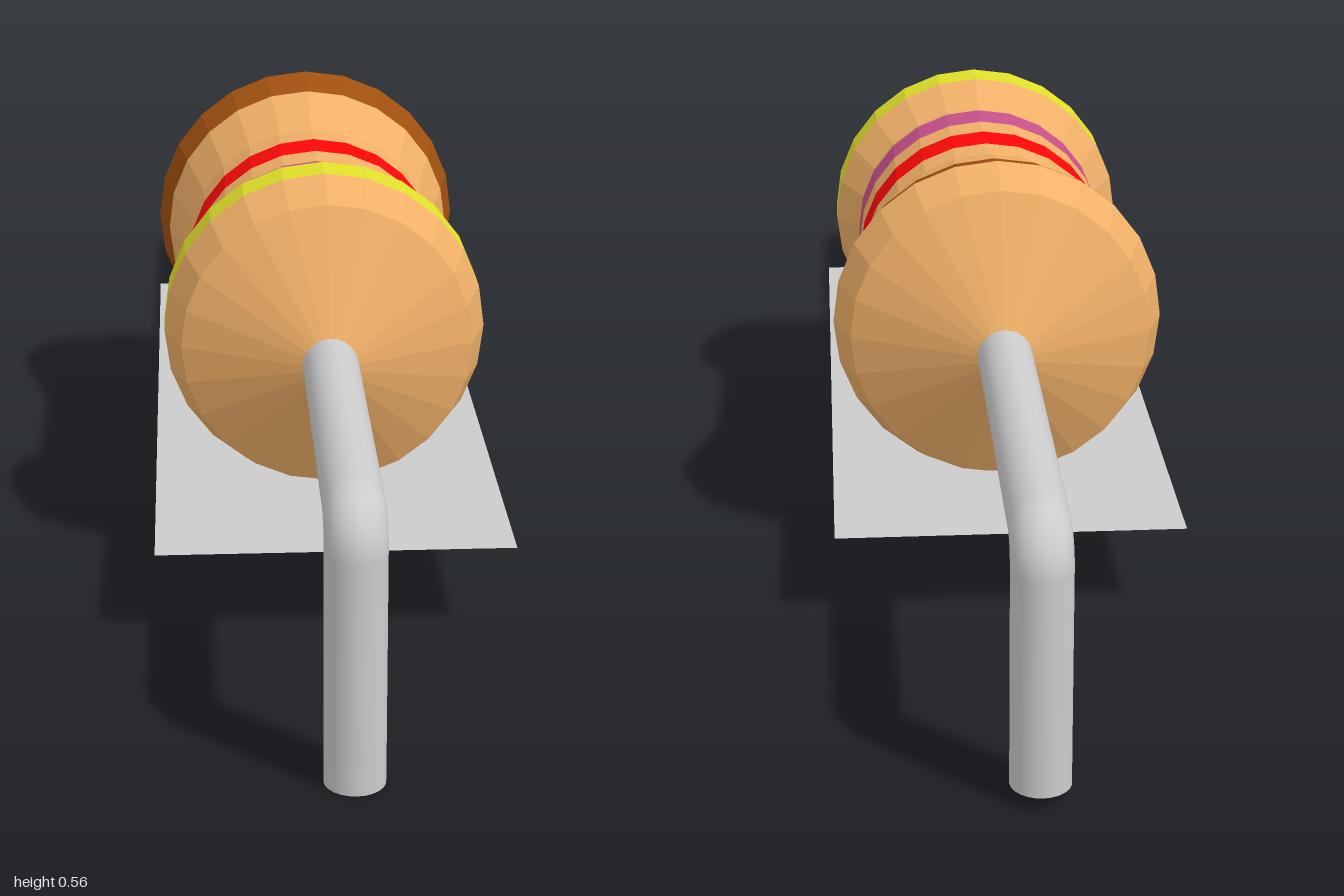
import * as THREE from 'three';

const AXIS_Y = 0.332, WIRE_R = 0.037;

// body outline as [z, radius], back to front
const PROFILE = [
  [-0.385, 0.037], [-0.3, 0.207], [-0.235, 0.23], [-0.05, 0.186], [0.2, 0.186],
  [0.25, 0.22], [0.31, 0.22], [0.38, 0.197], [0.46, 0.037],
];

// colour bands: name, back z, front z, colour
const BANDS = [
  ['brownBand', -0.235, -0.17, 0xa0500f],
  ['redBand', 0.005, 0.07, 0xff0808],
  ['purpleBand', 0.125, 0.19, 0xc8508a],
  ['yellowBand', 0.25, 0.31, 0xe0e02a],
];
const TAN = 0xf0b068;

function radiusAt(z) {
  for (let i = 1; i < PROFILE.length; i++) {
    const [z0, r0] = PROFILE[i - 1], [z1, r1] = PROFILE[i];
    if (z <= z1) return r0 + (r1 - r0) * (z - z0) / (z1 - z0);
  }
  return PROFILE[PROFILE.length - 1][1];
}

// faceted slice of the body between two z positions
function bodySlice(name, z0, z1, color) {
  const inner = PROFILE.map(p => p[0]).filter(z => z > z0 + 1e-4 && z < z1 - 1e-4);
  const points = [z0, ...inner, z1].map(z => new THREE.Vector2(radiusAt(z), z));
  const geometry = new THREE.LatheGeometry(points, 24).rotateX(Math.PI / 2);
  const mesh = new THREE.Mesh(geometry, new THREE.MeshStandardMaterial({ color, flatShading: true }));
  mesh.name = name;
  return mesh;
}

// bent wire from the body out to z = side, then down to footY
function lead(name, side, startZ, footY) {
  const group = new THREE.Group();
  group.name = name;
  const material = new THREE.MeshStandardMaterial({ color: 0xcccccc });
  const bend = WIRE_R + 0.002, legZ = side * (1 - WIRE_R);
  const add = (geometry, part) => {
    const mesh = new THREE.Mesh(geometry, material);
    mesh.name = part;
    group.add(mesh);
    return mesh;
  };

  const elbowZ = legZ - side * bend, length = Math.abs(elbowZ - startZ);
  add(new THREE.CylinderGeometry(WIRE_R, WIRE_R, length, 24, 1, true).rotateX(Math.PI / 2), 'wire')
    .position.set(0, AXIS_Y, (elbowZ + startZ) / 2);

  // quarter torus joining wire and leg
  const elbow = new THREE.TorusGeometry(bend, WIRE_R, 24, 10, Math.PI / 2).rotateY(-side * Math.PI / 2);
  add(elbow, 'elbow').position.set(0, AXIS_Y - bend, elbowZ);

  const top = AXIS_Y - bend;
  add(new THREE.CylinderGeometry(WIRE_R, WIRE_R, top - footY, 24), 'leg')
    .position.set(0, (top + footY) / 2, legZ);
  return group;
}

export function createModel() {
  const model = new THREE.Group();
  model.name = 'resistor';

  // banded body
  const body = new THREE.Group();
  body.name = 'body';
  body.position.y = AXIS_Y;
  let z = PROFILE[0][0];
  for (const [name, z0, z1, color] of BANDS) {
    body.add(bodySlice('bodySection', z, z0, TAN), bodySlice(name, z0, z1, color));
    z = z1;
  }
  body.add(bodySlice('bodySection', z, PROFILE[PROFILE.length - 1][0], TAN));
  model.add(body);

  // wire leads
  model.add(lead('frontLead', 1, 0.43, 0), lead('backLead', -1, -0.36, 0.018));

  // thin sheet just cutting the underside of the body
  const sheet = new THREE.Mesh(
    new THREE.PlaneGeometry(0.47, 1.11).rotateX(-Math.PI / 2),
    new THREE.MeshStandardMaterial({ color: 0xcccccc, side: THREE.DoubleSide }),
  );
  sheet.name = 'baseSheet';
  sheet.position.set(0, 0.127, 0.045);
  model.add(sheet);

  return model;
}
